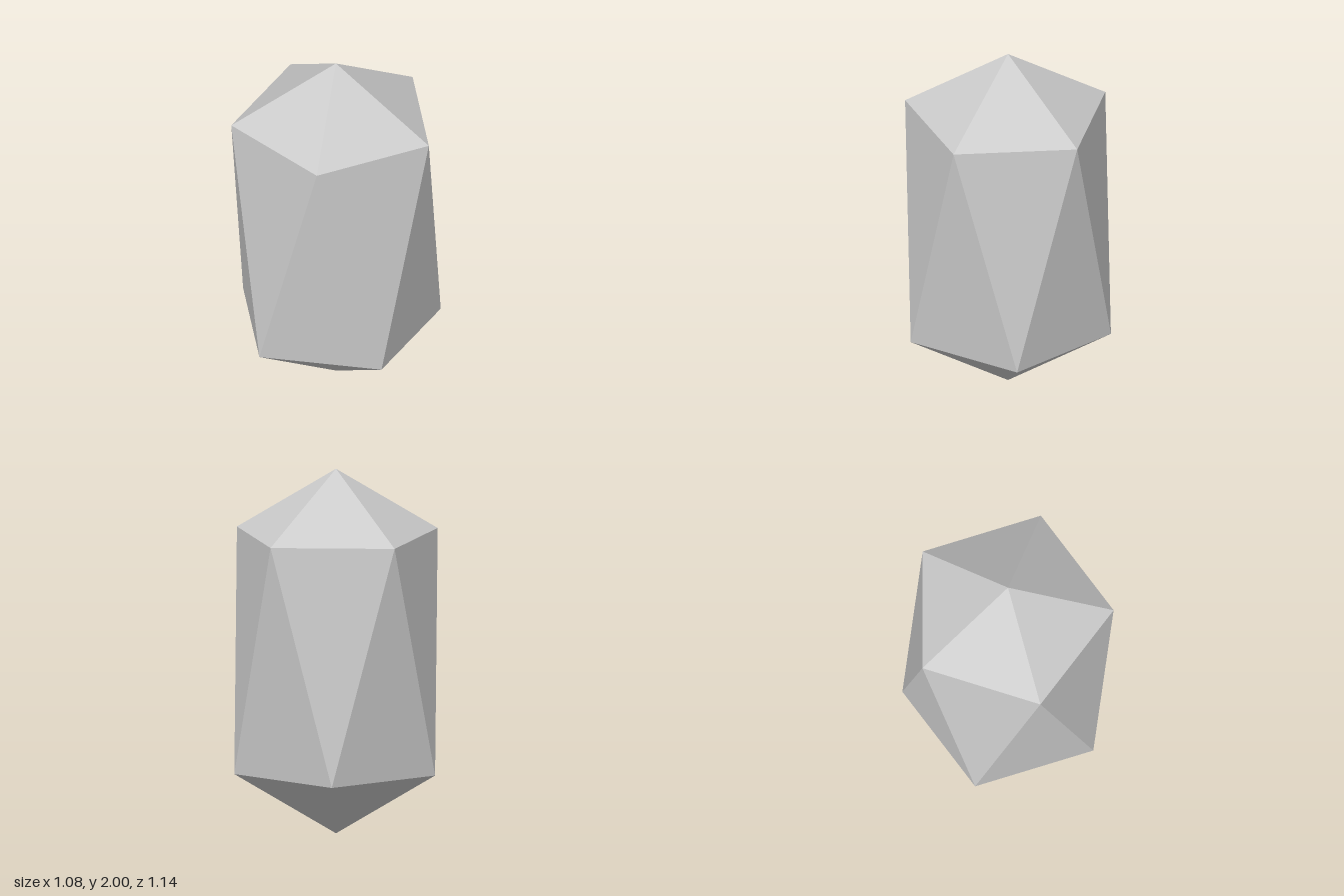
import * as THREE from 'three';

const SIDES = 5;
const RADIUS = 0.57;

// Ring of points, starting at +z and turning towards +x
function ring(y, turn) {
  return Array.from({ length: SIDES }, (_, i) => {
    const a = ((i + turn) / SIDES) * Math.PI * 2;
    return new THREE.Vector3(RADIUS * Math.sin(a), y, RADIUS * Math.cos(a));
  });
}

export function createModel() {
  const top = new THREE.Vector3(0, 2, 0);
  const bottom = new THREE.Vector3(0, 0, 0);
  const upper = ring(1.647, 0);
  const lower = ring(0.353, 0.5); // half a step out of line with the upper ring

  const corners = [];
  for (let i = 0; i < SIDES; i++) {
    const j = (i + 1) % SIDES;
    corners.push(
      upper[i], upper[j], top, // upper point
      upper[i], lower[i], upper[j], // tall band, pointing down
      lower[i], lower[j], upper[j], // tall band, pointing up
      lower[i], bottom, lower[j], // lower point
    );
  }
  const geometry = new THREE.BufferGeometry().setFromPoints(corners);
  geometry.computeVertexNormals();

  const crystal = new THREE.Mesh(
    geometry,
    new THREE.MeshStandardMaterial({ color: 0xcccccc, flatShading: true }),
  );
  crystal.name = 'crystal';

  const model = new THREE.Group();
  model.name = 'stretchedIcosahedron';
  model.add(crystal);
  return model;
}
